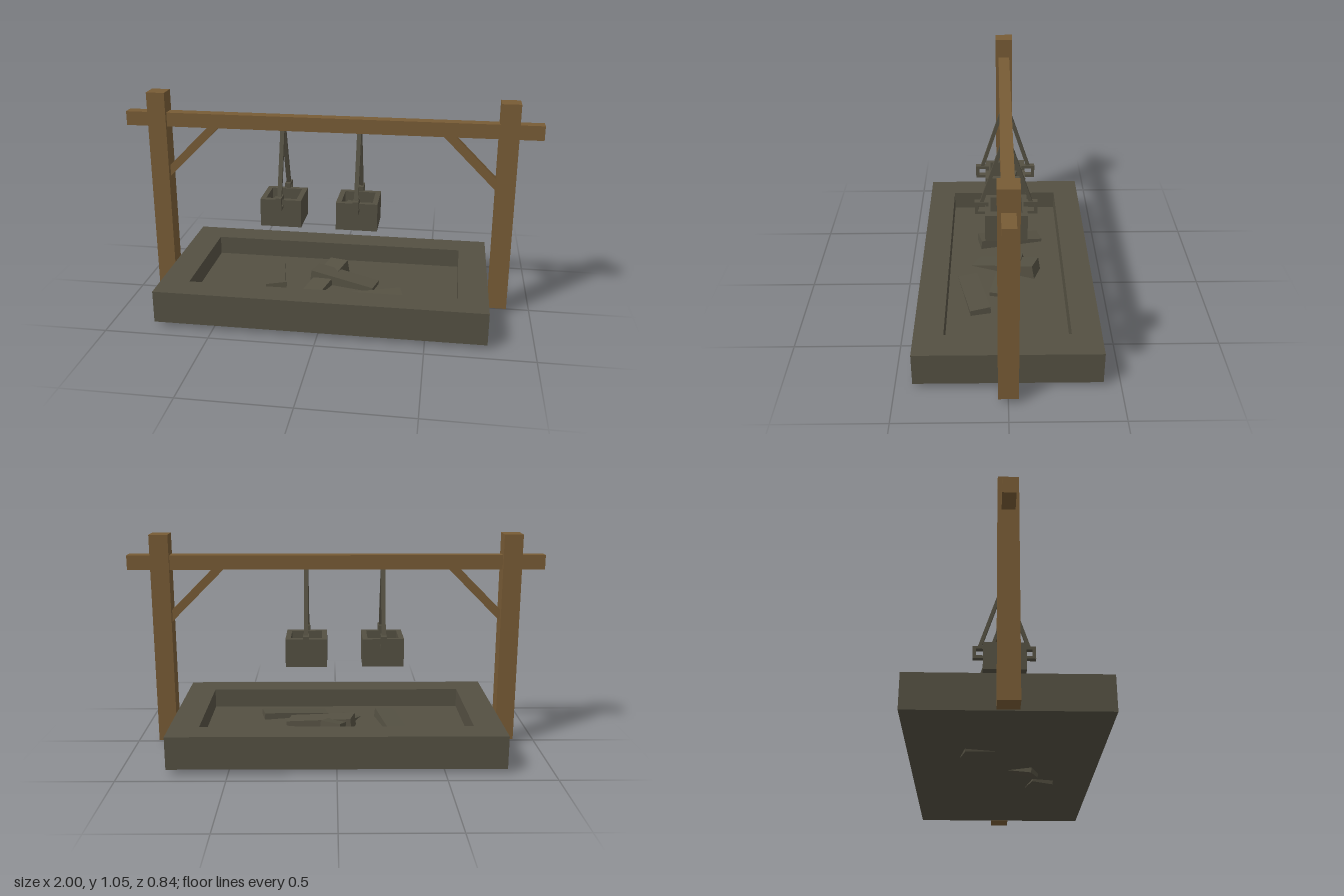
import * as THREE from 'three';

export function createModel() {
  const wood = new THREE.MeshStandardMaterial({ color: 0x775b35 });
  wood.name = 'wood';
  const iron = new THREE.MeshStandardMaterial({ color: 0x545042 });
  iron.name = 'dark iron';
  const model = new THREE.Group();
  model.name = 'hangingBucketTrough';

  const add = (parent, name, geometry, material, x = 0, y = 0, z = 0) => {
    const mesh = new THREE.Mesh(geometry, material);
    mesh.name = name;
    mesh.position.set(x, y, z);
    parent.add(mesh);
    return mesh;
  };
  const box = (parent, name, material, w, h, d, x, y, z) =>
    add(parent, name, new THREE.BoxGeometry(w, h, d), material, x, y, z);

  // Rectangular frame, w by h in the XY plane, with a w2 by h2 opening
  const frame = (w, h, w2, h2, depth) => {
    const rect = (T, a, b) => {
      const p = new T();
      p.moveTo(-a / 2, -b / 2);
      p.lineTo(a / 2, -b / 2);
      p.lineTo(a / 2, b / 2);
      p.lineTo(-a / 2, b / 2);
      p.closePath();
      return p;
    };
    const shape = rect(THREE.Shape, w, h);
    shape.holes.push(rect(THREE.Path, w2, h2));
    return new THREE.ExtrudeGeometry(shape, { depth, bevelEnabled: false });
  };

  // Open tub: walls standing on a solid bottom
  const tub = (parent, name, w, d, w2, d2, bottom, floor, top, x) => {
    const walls = frame(w, d, w2, d2, top - bottom).rotateX(-Math.PI / 2);
    add(parent, name + 'Walls', walls, iron, x, bottom, 0);
    box(parent, name + 'Floor', iron, w2, floor - bottom, d2, x, (floor + bottom) / 2, 0);
  };

  // Square bar between two points
  const bar = (parent, name, material, a, b, w, d) => {
    const dir = b.clone().sub(a);
    const mesh = add(parent, name, new THREE.BoxGeometry(w, dir.length(), d), material);
    mesh.position.copy(a).add(b).multiplyScalar(0.5);
    mesh.quaternion.setFromUnitVectors(new THREE.Vector3(0, 1, 0), dir.normalize());
    return mesh;
  };

  // Timber frame: crossbeam, posts and diagonal braces
  box(model, 'crossbeam', wood, 2, 0.069, 0.058, 0, 0.9205, 0);
  for (const s of [-1, 1]) {
    box(model, 'post', wood, 0.09, 1.028, 0.09, s * 0.841, 0.541, 0);
    bar(model, 'brace', wood, new THREE.Vector3(s * 0.817, 0.638, 0),
      new THREE.Vector3(s * 0.548, 0.907, 0), 0.04, 0.04);
  }

  // Trough
  tub(model, 'trough', 1.57, 0.842, 1.29, 0.572, 0.027, 0.09, 0.185, 0);

  // Loose ingots: x, y, z, direction (dx, dz), pitch, roll
  const ingots = [
    [-0.281, 0.075, -0.023, 0.07, 0.326, 0.09, 0.08],
    [-0.022, 0.082, -0.004, -0.115, 0.31, -0.2, 0.06],
    [0.215, 0.066, 0.157, 0.326, -0.07, 0.07, 0.08],
    [0.075, 0.09, -0.005, 0.97, 0.24, -0.12, 0],
  ];
  for (const [x, y, z, dx, dz, pitch, roll] of ingots) {
    const ingot = box(model, 'ingot', iron, 0.332, 0.085, 0.1, x, y, z);
    ingot.rotation.set(roll, Math.atan2(-dz, dx), pitch, 'YZX');
  }

  // Hanging buckets with ring handles, hanger rods and small lumps inside
  for (const x of [-0.225, 0.145]) {
    const bucket = new THREE.Group();
    bucket.name = 'bucket';
    bucket.position.x = x;
    model.add(bucket);
    tub(bucket, 'bucket', 0.2, 0.2, 0.15, 0.15, 0.423, 0.48, 0.56, 0);
    for (const s of [-1, 1]) {
      const ring = frame(0.066, 0.064, 0.034, 0.034, 0.027).translate(0, 0, -0.0135);
      add(bucket, 'handleRing', ring.rotateY(Math.PI / 2), iron, 0, 0.552, s * 0.116);
      bar(bucket, 'hangerRod', iron, new THREE.Vector3(0, 0.575, s * 0.118),
        new THREE.Vector3(0, 0.9, s * 0.011), 0.02, 0.017);
      const lump = box(bucket, 'lump', iron, 0.09, 0.035, 0.035, s * 0.02, 0.497, s * 0.035);
      lump.rotation.set(0, s * 0.5 + 0.3, 0.15 * s);
    }
  }
  return model;
}
